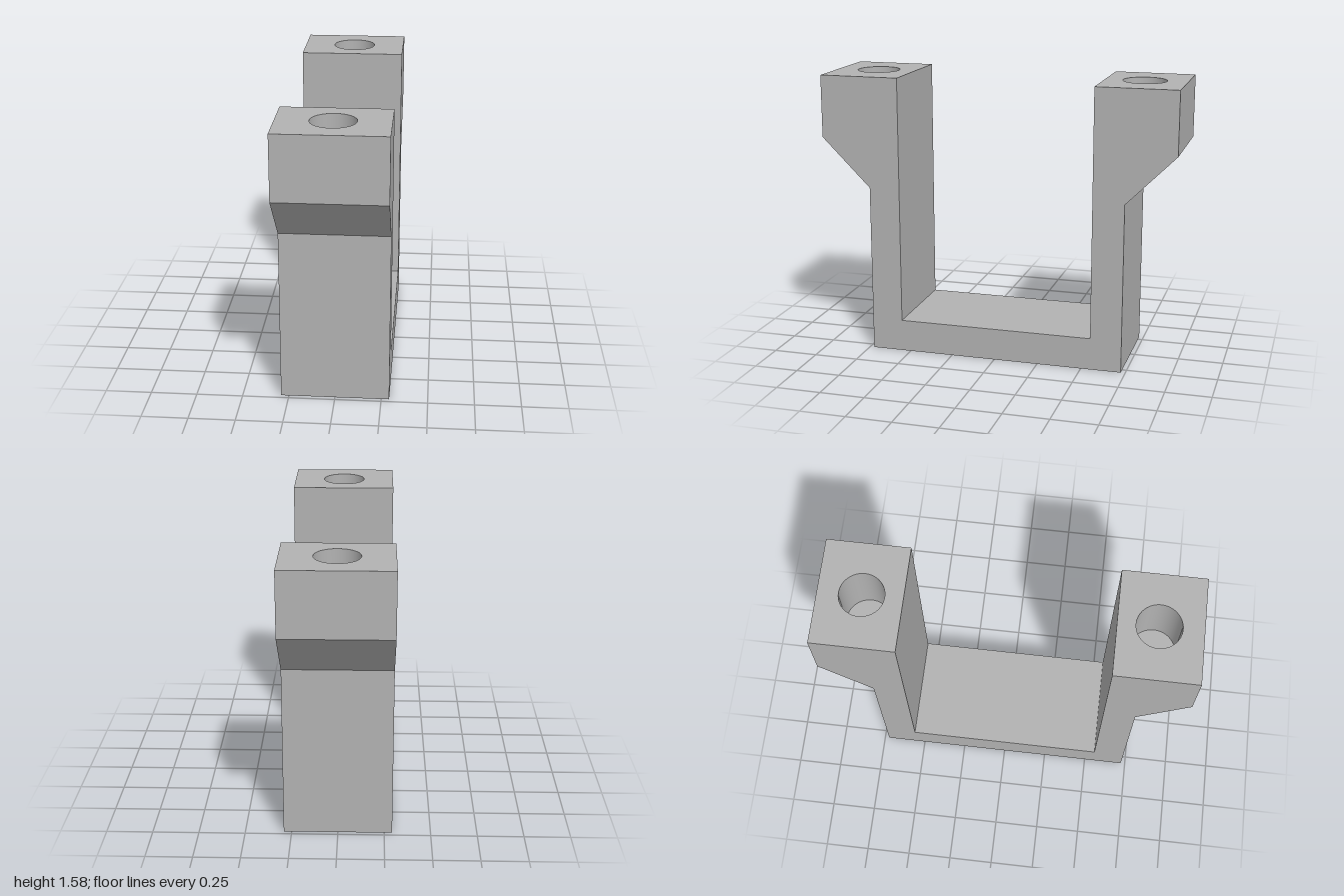
import * as THREE from 'three';

const WIDTH = 0.585, TOP = 1.575, BORE_R = 0.12, BORE_Z = 0.767, BORE_DEPTH = 0.35;
const INNER = 0.55, OUTER = 1, SEGMENTS = 48;

// Removes the faces lying flat at the given height
function withoutFacesAt(geometry, y) {
  const pos = geometry.attributes.position;
  const kept = [];
  for (let i = 0; i < pos.count; i += 3) {
    const flat = [0, 1, 2].every((k) => Math.abs(pos.getY(i + k) - y) < 1e-4);
    if (!flat) kept.push(i, i + 1, i + 2);
  }
  geometry.setIndex(kept);
  return geometry;
}

export function createModel() {
  const group = new THREE.Group();
  group.name = 'clampBracket';
  const gray = new THREE.MeshStandardMaterial({ color: 0xb2b2b2, side: THREE.DoubleSide });
  gray.name = 'gray';

  const add = (name, geometry) => {
    const mesh = new THREE.Mesh(geometry, gray);
    mesh.name = name;
    group.add(mesh);
    return mesh;
  };

  // U-shaped body: side profile (z, y), mirrored and extruded across the width
  const half = [[0.725, 0], [0.725, 0.95], [OUTER, 1.225], [OUTER, TOP], [INNER, TOP], [INNER, 0.18]];
  const mirrored = half.map(([z, y]) => [-z, y]).reverse();
  const profile = new THREE.Shape([...half, ...mirrored].map(([z, y]) => new THREE.Vector2(z, y)));
  const body = new THREE.ExtrudeGeometry(profile, { depth: WIDTH, bevelEnabled: false });
  body.translate(0, 0, -WIDTH / 2).rotateY(-Math.PI / 2);
  add('body', withoutFacesAt(body, TOP));

  for (const side of [1, -1]) {
    const end = side > 0 ? 'front' : 'back';

    // Top face pierced by the bolt hole
    const w = WIDTH / 2, a = INNER * side, b = OUTER * side;
    const face = new THREE.Shape([[-w, -a], [w, -a], [w, -b], [-w, -b]].map(([x, y]) => new THREE.Vector2(x, y)));
    face.holes.push(new THREE.Path().absarc(0, -BORE_Z * side, BORE_R, 0, Math.PI * 2, true));
    add(end + 'TopFace', new THREE.ShapeGeometry(face, SEGMENTS / 2).rotateX(-Math.PI / 2).translate(0, TOP, 0));

    // Blind bolt hole: wall and floor
    add(end + 'HoleWall', new THREE.CylinderGeometry(BORE_R, BORE_R, BORE_DEPTH, SEGMENTS, 1, true))
      .position.set(0, TOP - BORE_DEPTH / 2, BORE_Z * side);
    add(end + 'HoleFloor', new THREE.CircleGeometry(BORE_R, SEGMENTS).rotateX(-Math.PI / 2))
      .position.set(0, TOP - BORE_DEPTH, BORE_Z * side);
  }
  return group;
}
